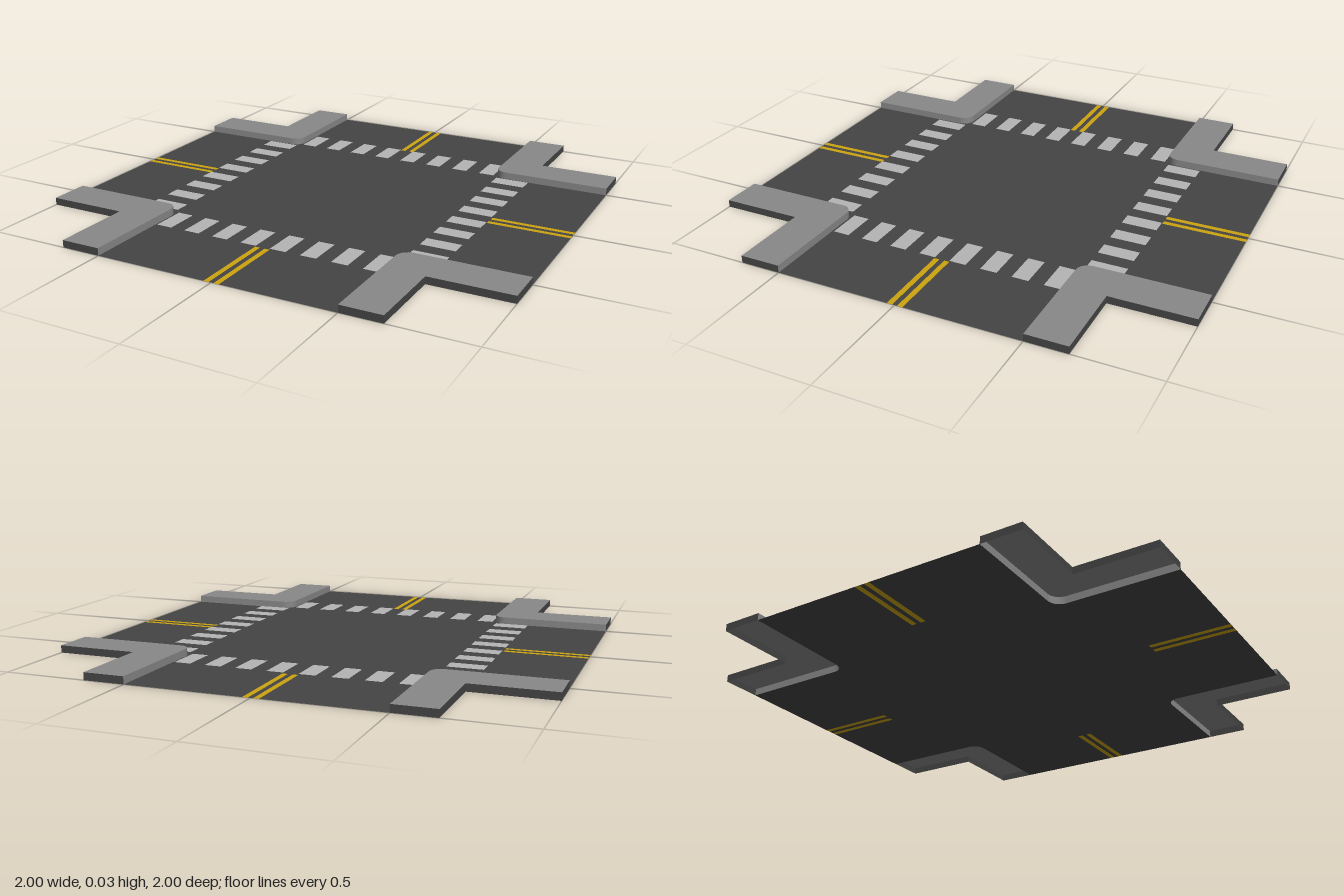
import * as THREE from 'three';

const H = 0.03;          // pavement height
const ROAD = 0.5;        // half width of the road
const OUT = 0.667;       // outer edge of the pavement
const R = 0.05;          // rounded kerb corner
const LINE = [0.01, 0.032, 0.66]; // centre line: inner edge, outer edge, start

const material = (color) => new THREE.MeshStandardMaterial({ color, side: THREE.DoubleSide });

function addMesh(parent, name, geometry, mat) {
  const mesh = new THREE.Mesh(geometry, mat);
  mesh.name = name;
  parent.add(mesh);
  return mesh;
}

// Flat polygon lying on the ground, facing up
function flat(points, y) {
  return new THREE.ShapeGeometry(new THREE.Shape(points)).rotateX(-Math.PI / 2).translate(0, y, 0);
}

// Vertical wall standing on a plan line
function wall(points, height, smooth) {
  const positions = [], index = [];
  points.forEach((p, i) => {
    positions.push(p.x, 0, -p.y, p.x, height, -p.y);
    if (i) {
      const a = 2 * i - 2;
      index.push(a, a + 2, a + 1, a + 1, a + 2, a + 3);
    }
  });
  let g = new THREE.BufferGeometry();
  g.setAttribute('position', new THREE.Float32BufferAttribute(positions, 3));
  g.setIndex(index);
  if (!smooth) g = g.toNonIndexed();
  g.computeVertexNormals();
  return g;
}

// Rounded street corner, from the +x arm round to the +y arm of the plan
function cornerArc(steps = 8) {
  const pts = [];
  for (let i = 0; i <= steps; i++) {
    const a = -Math.PI / 2 - (i / steps) * Math.PI / 2;
    pts.push(new THREE.Vector2(ROAD + R + R * Math.cos(a), ROAD + R + R * Math.sin(a)));
  }
  return pts;
}

const v = (x, y) => new THREE.Vector2(x, y);

export function createModel() {
  const model = new THREE.Group();
  model.name = 'crossroads';
  const asphalt = material(0x444444);
  const concrete = material(0x888888);
  const white = material(0xb4b4b4);
  const yellow = material(0xcca410);
  const [a, b, s] = LINE;

  // Road cross, with slots that the centre lines fill
  const arm = [
    v(1, -ROAD), v(1, -b), v(s, -b), v(s, -a), v(1, -a),
    v(1, a), v(s, a), v(s, b), v(1, b), v(1, ROAD), ...cornerArc(),
  ];
  const outline = [];
  for (let k = 0; k < 4; k++) {
    for (const p of arm) outline.push(p.clone().rotateAround(v(0, 0), k * Math.PI / 2));
  }
  addMesh(model, 'road', flat(outline, 0), asphalt);

  // Each quarter: one pavement corner, one pair of centre lines, one crossing
  const kerbLine = [v(1, ROAD), ...cornerArc(), v(ROAD, 1)];
  const outerLine = [v(ROAD, 1), v(OUT, 1), v(OUT, OUT), v(1, OUT), v(1, ROAD)];
  for (let k = 0; k < 4; k++) {
    const quarter = new THREE.Group();
    quarter.name = 'quarter' + (k + 1);
    quarter.rotation.y = k * Math.PI / 2;
    model.add(quarter);

    // Hollow pavement: top, road-side kerb, outer walls
    const top = [...kerbLine, v(OUT, 1), v(OUT, OUT), v(1, OUT)];
    addMesh(quarter, 'pavementTop', flat(top, H), concrete);
    const arcWall = wall(cornerArc(), H, true);
    addMesh(quarter, 'kerbCorner', arcWall.toNonIndexed(), concrete);
    addMesh(quarter, 'kerbSideA', wall(kerbLine.slice(0, 2), H), concrete);
    addMesh(quarter, 'kerbSideB', wall(kerbLine.slice(-2), H), concrete);
    addMesh(quarter, 'pavementOuterWall', wall(outerLine, H), asphalt);

    // Double centre line
    for (const side of [-1, 1]) {
      const line = new THREE.PlaneGeometry(1 - s, b - a).rotateX(-Math.PI / 2);
      addMesh(quarter, 'centreLine', line, yellow).position.set((1 + s) / 2, 0, side * (a + b) / 2);
    }

    // Crossing stripes
    for (let i = 0; i < 8; i++) {
      const stripe = new THREE.PlaneGeometry(0.146, 0.068).rotateX(-Math.PI / 2);
      addMesh(quarter, 'crossingStripe', stripe, white).position.set(0.585, 0.003, -0.455 + i * 0.13);
    }
  }
  return model;
}
